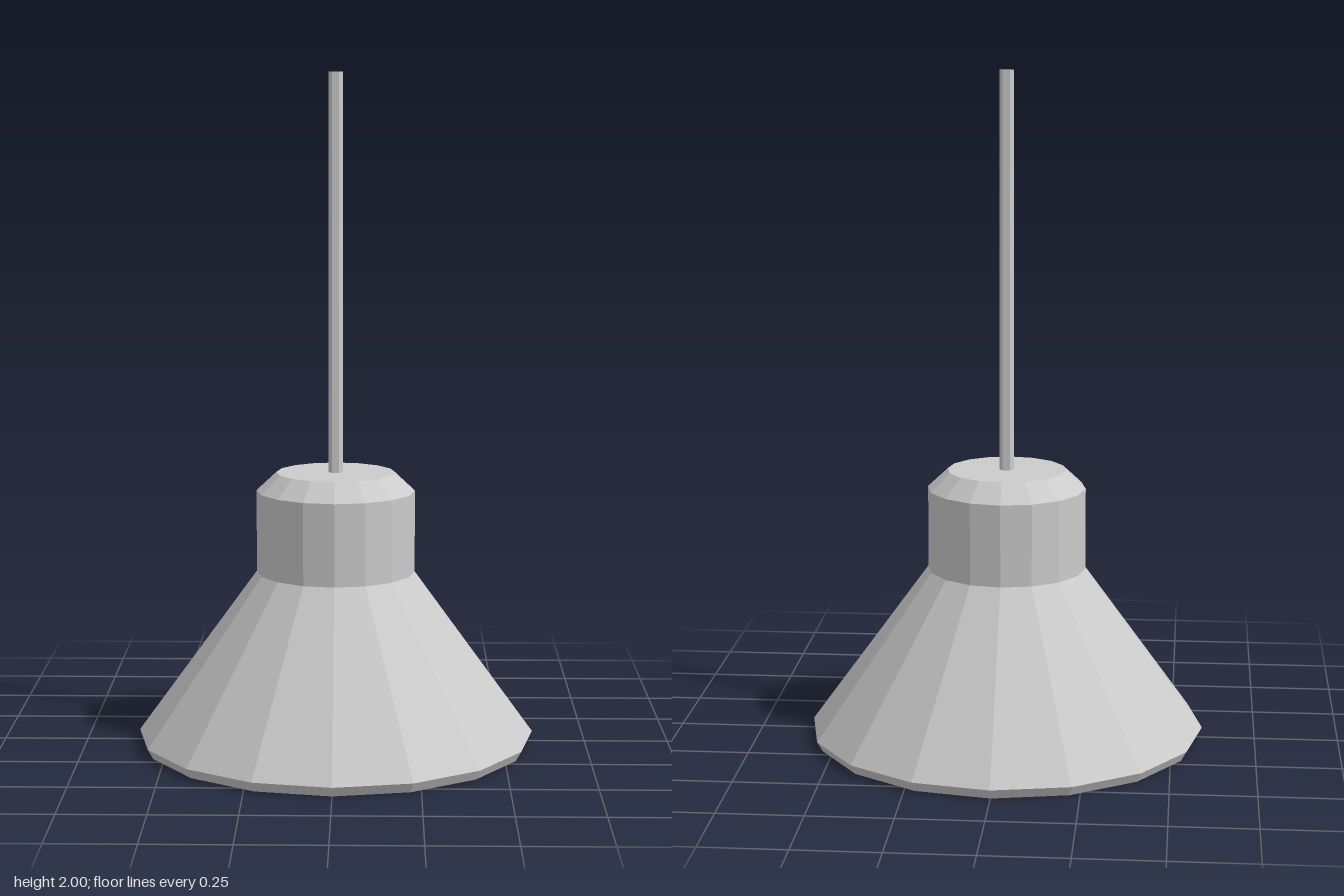
import * as THREE from 'three';

const SIDES = 16;
const material = new THREE.MeshStandardMaterial({ color: 0xcccccc, flatShading: true });

// Revolves a [radius, height] profile, listed so that its outside faces right of travel
function turned(name, profile) {
  const points = profile.map(([r, y]) => new THREE.Vector2(r, y));
  const mesh = new THREE.Mesh(new THREE.LatheGeometry(points, SIDES), material);
  mesh.name = name;
  return mesh;
}

export function createModel() {
  const group = new THREE.Group();
  group.name = 'pendantLamp';

  // Thin hollow shade: inner wall down to the lip, then outer wall up to the chamfered cap
  group.add(turned('shade', [
    [0, 0.8], [0.165, 0.8], [0.217, 0.755], [0.217, 0.525],
    [0.567, 0.035], [0.575, 0], [0.592, 0.03],
    [0.236, 0.52], [0.236, 0.765],
    [0.177, 0.82], [0, 0.82],
  ]));

  // Bulb: round globe narrowing to a neck that meets the cap
  const radius = 0.145, centre = 0.265;
  const globe = [[0, centre - radius]];
  for (let i = 1; i <= 6; i++) {
    const a = -Math.PI / 2 + (i * Math.PI) / 8;
    globe.push([radius * Math.cos(a), centre + radius * Math.sin(a)]);
  }
  group.add(turned('bulb', [...globe, [0.08, 0.42], [0.08, 0.8]]));

  // Hanging cord
  const cord = new THREE.Mesh(new THREE.CylinderGeometry(0.021, 0.021, 1.18, 6), material);
  cord.name = 'cord';
  cord.position.y = 1.41;
  cord.rotation.y = Math.PI / 6;
  group.add(cord);

  return group;
}
